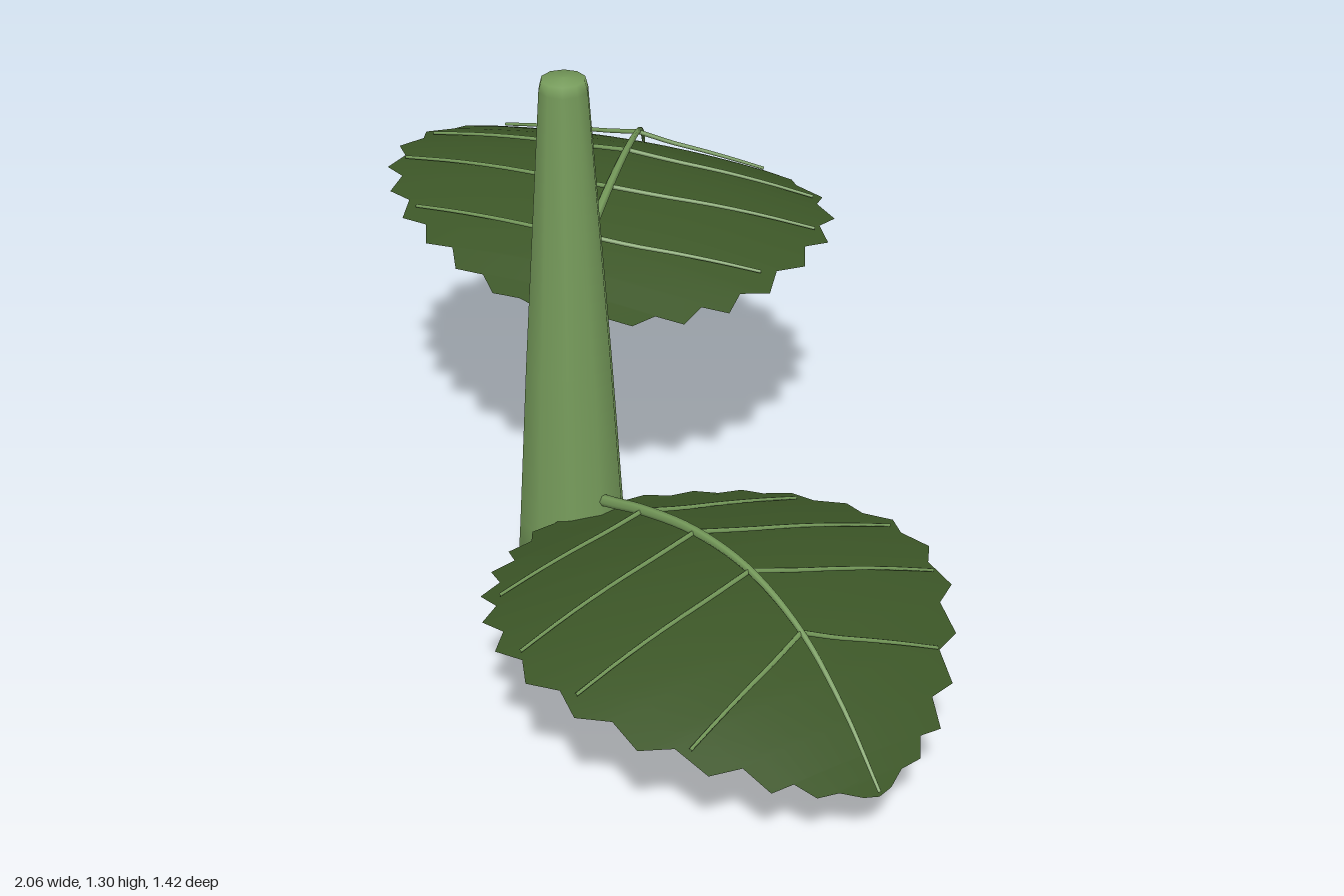
import * as THREE from 'three';

const stemGreen = new THREE.MeshStandardMaterial({ color: 0x759a5a });
stemGreen.name = 'stem green';
const leafGreen = new THREE.MeshStandardMaterial({ color: 0x3c5627, side: THREE.DoubleSide });
leafGreen.name = 'leaf green';

const STEM = { x: -0.13, z: 0.185 };
const vec2s = (pts) => pts.map(([x, y]) => new THREE.Vector2(x, y));

// Smooth lookup through values spaced evenly along the leaf, x = -0.1 .. 1
const along = (values) => {
  const curve = new THREE.SplineCurve(values.map((v, i) => new THREE.Vector2(i, v)));
  return (x) => curve.getPoint(THREE.MathUtils.clamp((x + 0.1) / 1.1, 0, 1)).y;
};
const midHeight = along([0.25, 0.315, 0.358, 0.35, 0.28, 0.165]);
const midZ = along([0.18, 0.165, 0.155, 0.158, 0.18, 0.22]);

// Blade height: arched along the midrib, tilted and bowed across it
const bladeY = (x, z) => {
  const w = z - midZ(x);
  return midHeight(x) + 0.1 * w - 0.205 * w * w;
};

// Leaf margins from base to tip, as x, z
const marginNear = new THREE.SplineCurve(vec2s([[-0.08, 0.19], [-0.04, 0.33], [0.05, 0.46], [0.15, 0.575],
  [0.28, 0.655], [0.43, 0.695], [0.6, 0.67], [0.76, 0.58], [0.88, 0.44], [0.95, 0.33], [1, 0.22]]));
const marginFar = new THREE.SplineCurve(vec2s([[-0.08, 0.19], [-0.06, 0.04], [0.01, -0.1], [0.11, -0.21],
  [0.27, -0.295], [0.43, -0.33], [0.6, -0.285], [0.76, -0.16], [0.88, -0.03], [0.95, 0.09], [1, 0.22]]));

// Side veins: x on the midrib, then margin ends as x, z
const VEINS = [
  [0.12, [0.18, -0.22], [0.2, 0.59]],
  [0.3, [0.4, -0.31], [0.41, 0.675]],
  [0.49, [0.58, -0.28], [0.58, 0.655]],
  [0.68, [0.77, -0.13], [0.79, 0.53]],
];

// Tube that narrows from radius r0 to r1
function taperedTube(points, r0, r1, steps, sides) {
  const curve = new THREE.CatmullRomCurve3(points);
  const geo = new THREE.TubeGeometry(curve, steps, r0, sides);
  const pos = geo.attributes.position;
  const p = new THREE.Vector3();
  for (let i = 0; i < pos.count; i++) {
    const t = Math.floor(i / (sides + 1)) / steps;
    const centre = curve.getPointAt(t);
    p.fromBufferAttribute(pos, i).sub(centre).multiplyScalar(THREE.MathUtils.lerp(1, r1 / r0, t)).add(centre);
    pos.setXYZ(i, p.x, p.y, p.z);
  }
  return geo;
}

function makeLeaf(name, side) {
  const leaf = new THREE.Group();
  leaf.name = name;
  // Moves a point so the stem axis is the origin; side -1 mirrors the leaf
  const place = (x, y, z) => new THREE.Vector3(x - STEM.x, y, side * (z - STEM.z));
  const add = (geo, mat, label) => {
    const mesh = new THREE.Mesh(geo, mat);
    mesh.name = label;
    leaf.add(mesh);
  };

  // Blade with a toothed margin, built from rows running across the midrib
  const rows = 28, half = 5, cols = half * 2 + 1;
  const verts = [], index = [];
  for (let i = 0; i <= rows; i++) {
    const u = i / rows;
    const tooth = (i % 2 ? 0.022 : -0.012) * Math.min(1, 6 * u, 5 * (1 - u));
    const [far, near] = [marginFar, marginNear].map((curve, k) => {
      const p = curve.getPoint(u), t = curve.getTangent(u), s = k ? 1 : -1;
      return new THREE.Vector2(p.x - s * t.y * tooth, p.y + s * t.x * tooth);
    });
    const cx = (far.x + near.x) / 2;
    const centre = new THREE.Vector2(cx, midZ(cx));
    for (let j = -half; j <= half; j++) {
      const p = centre.clone().lerp(j < 0 ? far : near, Math.abs(j) / half);
      verts.push(...place(p.x, bladeY(p.x, p.y), p.y).toArray());
    }
  }
  for (let i = 0; i < rows; i++) {
    for (let j = 0; j < cols - 1; j++) {
      const a = i * cols + j, b = a + 1, c = a + cols, d = c + 1;
      index.push(...(side > 0 ? [a, b, c, b, d, c] : [a, c, b, b, c, d]));
    }
  }
  const blade = new THREE.BufferGeometry();
  blade.setAttribute('position', new THREE.Float32BufferAttribute(verts, 3));
  blade.setIndex(index);
  blade.computeVertexNormals();
  add(blade, leafGreen, 'leafBlade');

  // Midrib arching just above the blade
  const ribY = (x) => midHeight(x) + 0.035 * Math.min(1, 0.3 + 4 * Math.max(0, 1 - x));
  const rib = [-0.08, 0.02, 0.12, 0.3, 0.49, 0.68, 0.85, 1].map((x) => place(x, ribY(x), midZ(x)));
  add(taperedTube(rib, 0.014, 0.004, 32, 6), stemGreen, 'midrib');

  // Paired side veins settling onto the margin
  for (const [x0, ...ends] of VEINS) {
    for (const [x1, z1] of ends) {
      const pts = [0, 0.25, 0.5, 0.75, 1].map((t) => {
        const x = THREE.MathUtils.lerp(x0, x1, t), z = THREE.MathUtils.lerp(midZ(x0), z1, t);
        return place(x, bladeY(x, z) + THREE.MathUtils.lerp(0.034, 0.005, Math.sqrt(t)), z);
      });
      add(taperedTube(pts, 0.006, 0.004, 10, 5), stemGreen, 'sideVein');
    }
  }
  return leaf;
}

export function createModel() {
  const model = new THREE.Group();
  model.name = 'leafyStem';

  // Tapered ten-sided stem with a softly rounded top
  const profile = vec2s([[0, 0], [0.137, 0], [0.122, 0.22], [0.098, 0.62], [0.054, 1.27], [0.048, 1.293], [0, 1.297]]);
  const stem = new THREE.Mesh(new THREE.LatheGeometry(profile, 10), stemGreen);
  stem.name = 'stem';
  stem.rotation.y = Math.PI / 2;
  stem.position.set(STEM.x, 0, STEM.z);
  model.add(stem);

  // Lower leaf to one side, and its mirrored twin higher up at the back
  const lower = makeLeaf('lowerLeaf', 1);
  lower.position.set(STEM.x, 0, STEM.z);
  const upper = makeLeaf('upperLeaf', -1);
  upper.position.set(-0.145, 0.455, 0.21);
  upper.rotation.y = -THREE.MathUtils.degToRad(227.2);
  model.add(lower, upper);
  return model;
}
